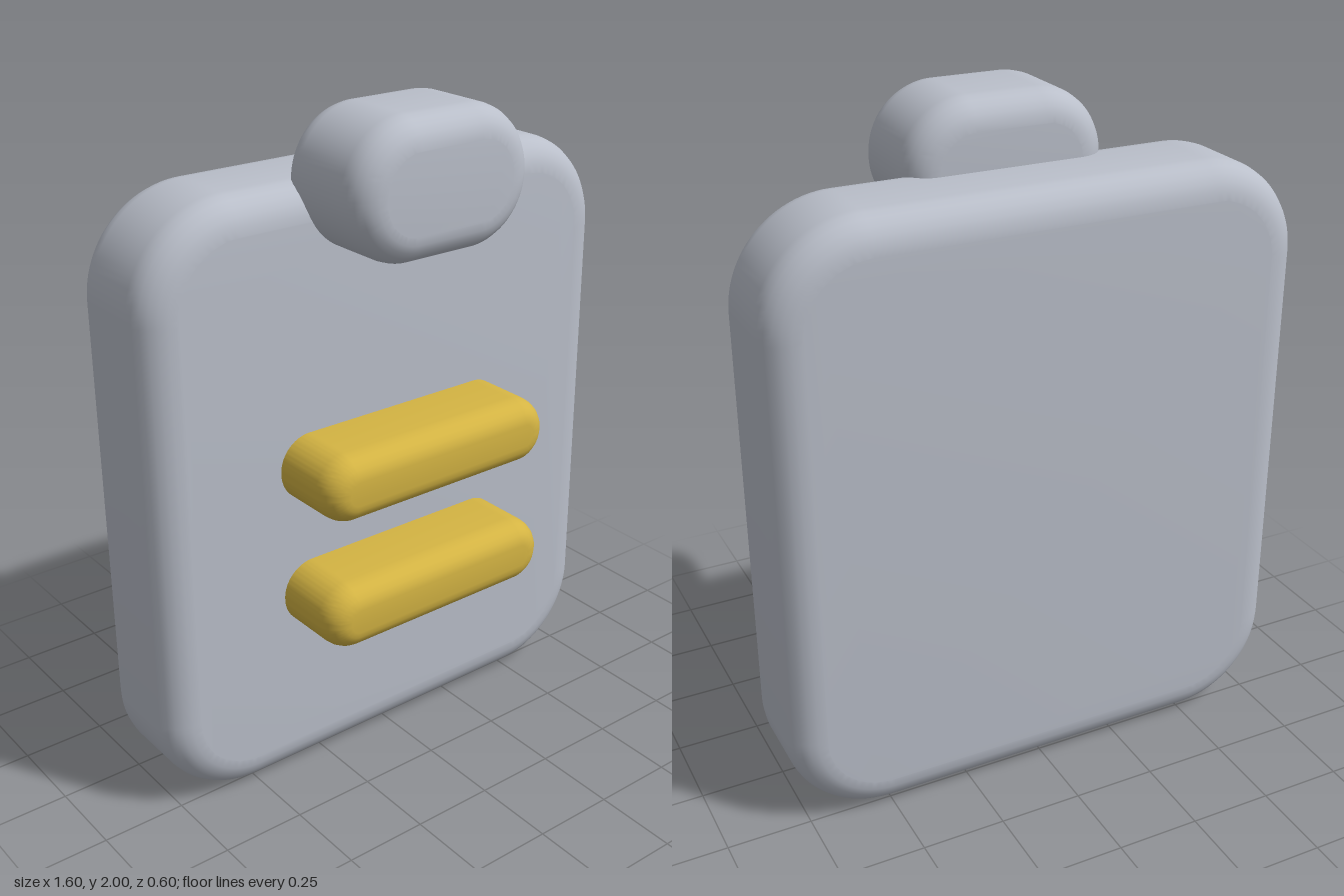
import * as THREE from 'three';
import { mergeVertices, toCreasedNormals } from 'three/addons/utils/BufferGeometryUtils.js';

// Rounded plate: rounded-rectangle outline with soft front and back edges.
function softPlate({ width, height, radius, back, front, inset, roll }) {
  const x = width / 2, y = height / 2, r = radius - 0.002;
  const s = new THREE.Shape();
  s.moveTo(-x + r, -y);
  s.lineTo(x - r, -y);
  s.absarc(x - r, -y + r, r, -Math.PI / 2, 0);
  s.lineTo(x, y - r);
  s.absarc(x - r, y - r, r, 0, Math.PI / 2);
  s.lineTo(-x + r, y);
  s.absarc(-x + r, y - r, r, Math.PI / 2, Math.PI);
  s.lineTo(-x, -y + r);
  s.absarc(-x + r, -y + r, r, Math.PI, Math.PI * 1.5);
  let g = new THREE.ExtrudeGeometry(s, {
    depth: front - back - 2 * roll,
    curveSegments: 12,
    bevelEnabled: true,
    bevelSize: inset,
    bevelOffset: -inset,
    bevelThickness: roll,
    bevelSegments: 6,
  });
  g.translate(0, 0, back + roll);
  g.deleteAttribute('uv');
  g.deleteAttribute('normal');
  g = mergeVertices(g, 1e-4);
  return toCreasedNormals(g, Math.PI / 4);
}

export function createModel() {
  const group = new THREE.Group();
  const grey = new THREE.MeshStandardMaterial({ color: 0xbabfca });
  grey.name = 'pale grey';
  const yellow = new THREE.MeshStandardMaterial({ color: 0xd4b443 });
  yellow.name = 'mustard yellow';

  const add = (name, material, y, dims) => {
    const mesh = new THREE.Mesh(softPlate(dims), material);
    mesh.name = name;
    mesh.position.y = y;
    group.add(mesh);
  };

  // Board
  add('board', grey, 0.904, {
    width: 1.6, height: 1.808, radius: 0.3, back: -0.3, front: 0.06, inset: 0.1, roll: 0.09,
  });

  // Clip straddling the top edge
  add('clip', grey, 1.802, {
    width: 0.6, height: 0.396, radius: 0.198, back: -0.06, front: 0.3, inset: 0.085, roll: 0.085,
  });

  // Raised bars on the front
  [['upperBar', 1.006], ['lowerBar', 0.605]].forEach(([name, y]) => add(name, yellow, y, {
    width: 0.8, height: 0.2, radius: 0.1, back: -0.06, front: 0.295, inset: 0.065, roll: 0.075,
  }));

  return group;
}
